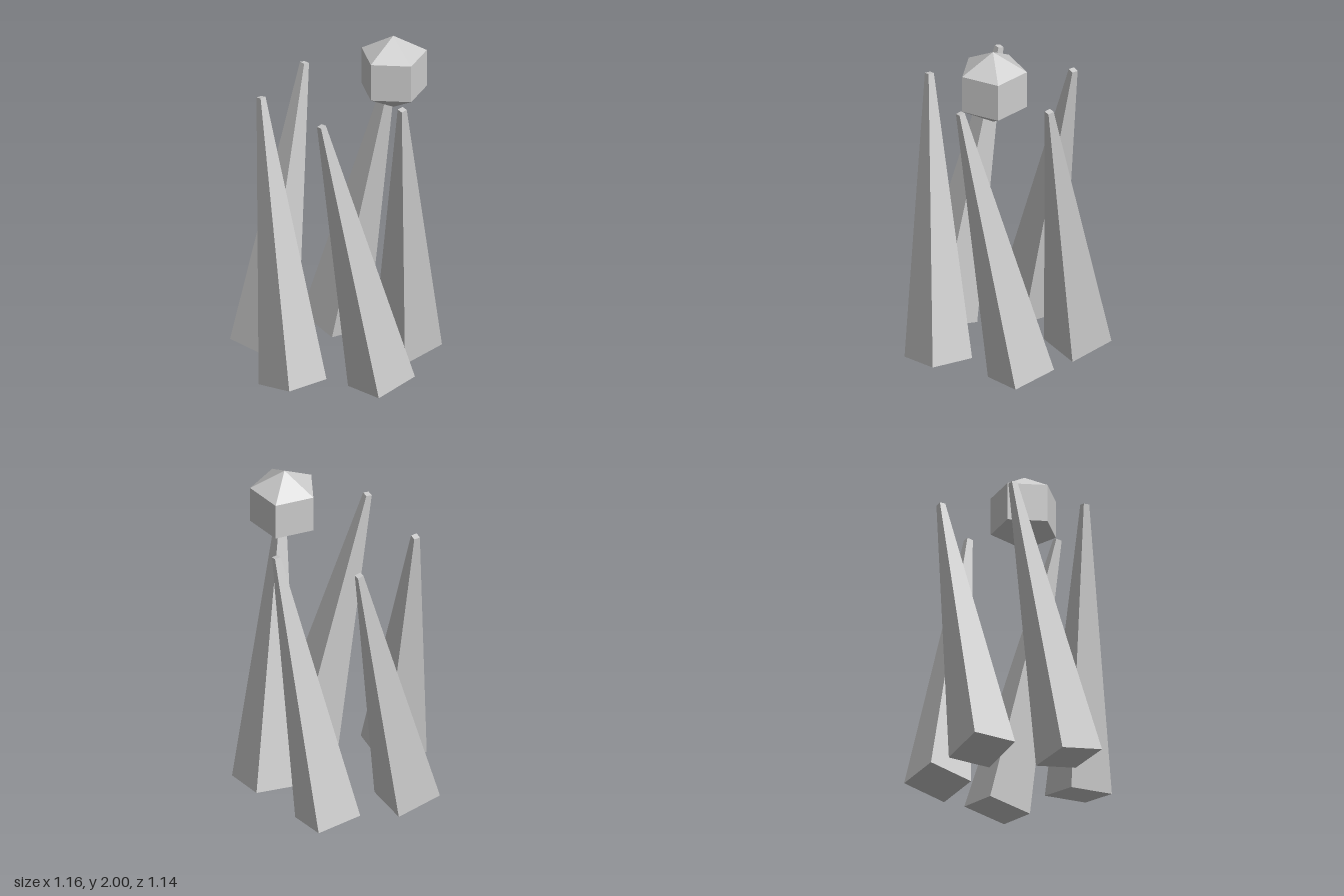
import * as THREE from 'three';

export function createModel() {
  const model = new THREE.Group();
  model.name = 'leaningPillarsWithOrb';

  const stone = new THREE.MeshStandardMaterial({ color: 0xcccccc, flatShading: true });
  stone.name = 'pale grey stone';

  // Ring of five tapered four-sided pillars, each leaning along the ring
  const ring = { x: 0.011, z: 0.025, radius: 0.414 };
  const halfSweep = THREE.MathUtils.degToRad(24);
  const baseY = 0.039, topY = 1.635;
  const onRing = (angle, y) => new THREE.Vector3(
    ring.x + ring.radius * Math.cos(angle), y, ring.z + ring.radius * Math.sin(angle));
  const up = new THREE.Vector3(0, 1, 0);

  const length = onRing(-halfSweep, baseY).distanceTo(onRing(halfSweep, topY));
  const pillarGeometry = new THREE.CylinderGeometry(0.025, 0.1875, length, 4);

  for (let i = 0; i < 5; i++) {
    const angle = (i / 5) * Math.PI * 2 + 0.006;
    const foot = onRing(angle - halfSweep, baseY);
    const tip = onRing(angle + halfSweep, topY);
    const pillar = new THREE.Mesh(pillarGeometry, stone);
    pillar.name = `pillar${i + 1}`;
    pillar.position.copy(foot).add(tip).multiplyScalar(0.5);
    pillar.quaternion.setFromUnitVectors(up, tip.sub(foot).normalize());
    model.add(pillar);
  }

  // Faceted orb floating above one side of the ring
  const orb = new THREE.Mesh(
    new THREE.SphereGeometry(0.2175, 5, 3, -Math.PI / 2), stone);
  orb.name = 'orb';
  orb.position.set(0.325, 1.7825, ring.z);
  model.add(orb);

  return model;
}
